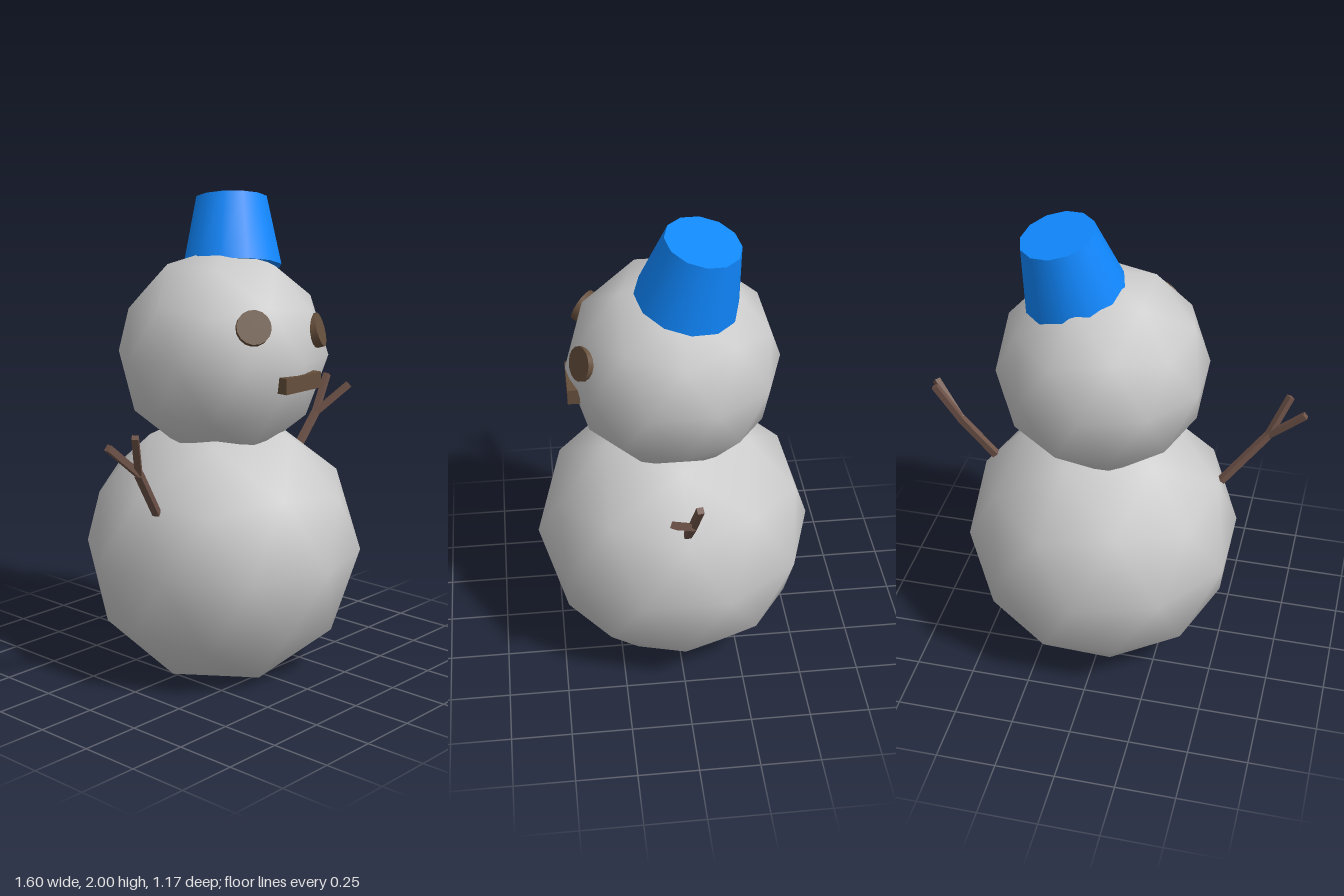
import * as THREE from 'three';

const UP = new THREE.Vector3(0, 1, 0);
const V = (p) => new THREE.Vector3(...p);
const material = (color) => new THREE.MeshStandardMaterial({ color });

const snow = material(0xcccccc);
const blue = material(0x1088ff);
const coal = material(0x664f3c);
const wood = material(0x6e5348);

function add(parent, name, geometry, mat, position = [0, 0, 0]) {
  const mesh = new THREE.Mesh(geometry, mat);
  mesh.name = name;
  mesh.position.set(...position);
  parent.add(mesh);
  return mesh;
}

// Smooth 80-sided ball with one corner pointing straight up
function snowball(radius) {
  const g = new THREE.IcosahedronGeometry(radius, 1);
  g.rotateZ(-Math.atan2(2, 1 + Math.sqrt(5)));
  return g;
}

// Press the lowest corner up so the ball rests on a flat pentagon
function flattenBase(g, radius, baseY) {
  const p = g.attributes.position;
  const n = g.attributes.normal;
  for (let i = 0; i < p.count; i += 3) {
    const pole = [i, i + 1, i + 2].find((k) => p.getY(k) < -0.95 * radius);
    if (pole === undefined) continue;
    p.setY(pole, baseY);
    for (let k = i; k < i + 3; k++) n.setXYZ(k, 0, -1, 0);
  }
  return g;
}

// Square twig between two points
function twig(parent, name, from, to, width) {
  const a = V(from), b = V(to);
  const g = new THREE.BoxGeometry(width, width, a.distanceTo(b));
  const mesh = add(parent, name, g, wood, a.clone().add(b).multiplyScalar(0.5).toArray());
  mesh.lookAt(b);
}

function arm(parent, name, base, fork, tips) {
  const group = new THREE.Group();
  group.name = name;
  twig(group, 'forearm', base, fork, 0.028);
  tips.forEach((tip) => twig(group, 'finger', fork, tip, 0.026));
  parent.add(group);
}

// Cylinder whose axis follows a direction
function disc(parent, name, mat, position, axis, rTop, rBottom, height, sides) {
  const g = new THREE.CylinderGeometry(rTop, rBottom, height, sides);
  const mesh = add(parent, name, g, mat, position);
  mesh.quaternion.setFromUnitVectors(UP, V(axis).normalize());
}

export function createModel() {
  const model = new THREE.Group();
  model.name = 'snowman';

  // Body and head
  add(model, 'body', flattenBase(snowball(0.585), 0.585, -0.51), snow, [0.03, 0.51, 0]);
  add(model, 'head', snowball(0.437), snow, [0.03, 1.34, 0]);

  // Tilted bucket hat
  disc(model, 'hat', blue, [0.158, 1.824, -0.068], [0.2, 1, -0.2], 0.151, 0.209, 0.286, 12);

  // Face
  disc(model, 'rightEye', coal, [-0.165, 1.5, 0.338], [-0.55, 0.38, 0.74], 0.07, 0.07, 0.035, 16);
  disc(model, 'leftEye', coal, [0.185, 1.455, 0.372], [0.44, 0.28, 0.86], 0.07, 0.07, 0.035, 16);
  add(model, 'mouth', new THREE.BoxGeometry(0.215, 0.065, 0.05), coal, [0.032, 1.268, 0.41]);

  // Forked twig arms
  arm(model, 'leftArm', [0.505, 0.82, -0.005], [0.655, 0.985, -0.006],
    [[0.755, 1.145, -0.022], [0.785, 1.107, 0.08]]);
  arm(model, 'rightArm', [-0.46, 0.77, 0.095], [-0.64, 0.98, 0.18],
    [[-0.715, 1.145, 0.24], [-0.788, 1.107, 0.17]]);

  return model;
}
